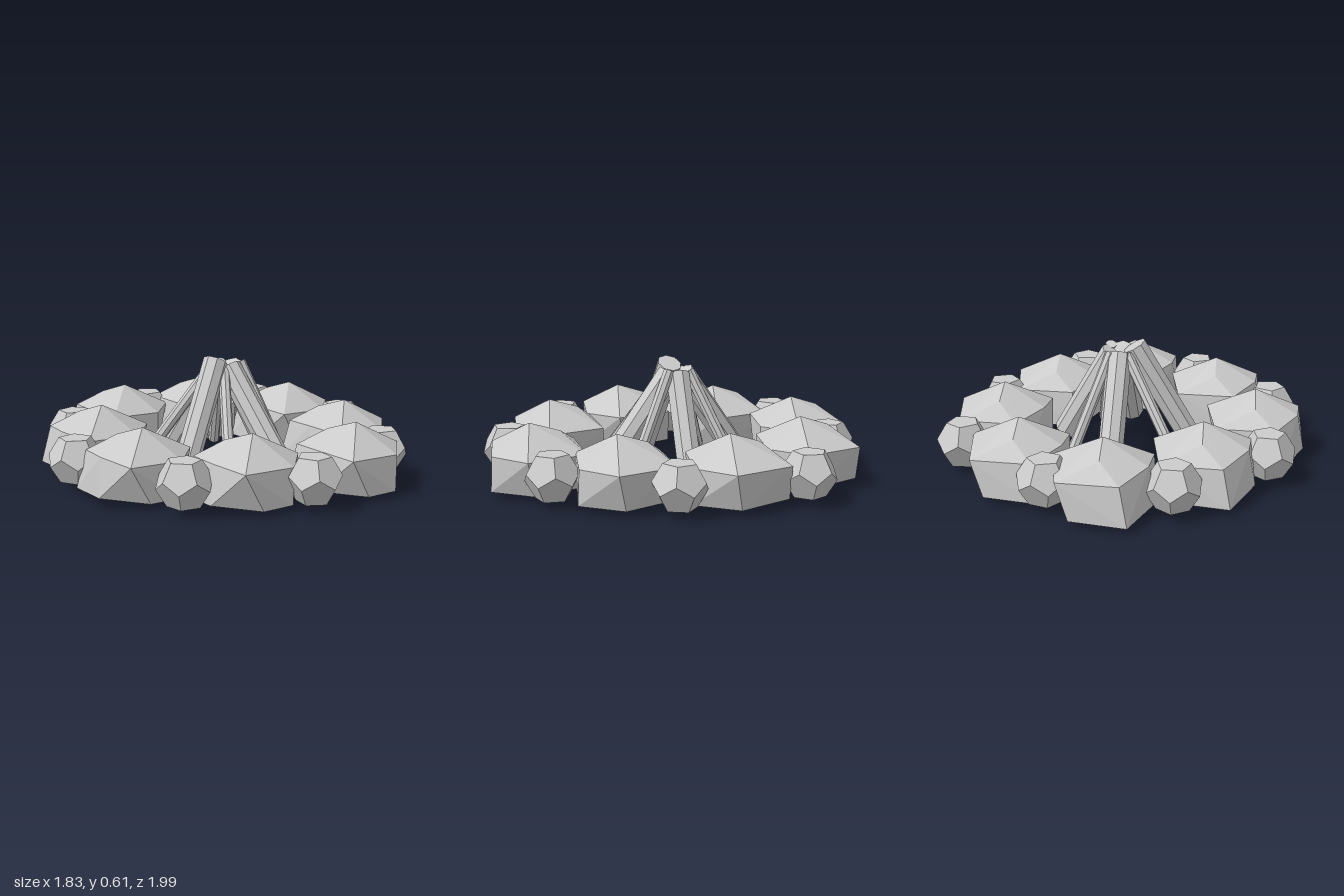
import * as THREE from 'three';
import { ConvexGeometry } from 'three/addons/geometries/ConvexGeometry.js';

const V = (x, y, z) => new THREE.Vector3(x, y, z);

export function createModel() {
  const group = new THREE.Group();
  const material = new THREE.MeshStandardMaterial({ color: 0xcccccc, flatShading: true });
  const add = (name, geometry) => {
    const mesh = new THREE.Mesh(geometry, material);
    mesh.name = name;
    group.add(mesh);
    return mesh;
  };

  // Large stone: flat base, faceted rim and a low peak with a ridge to the back
  const rim = [[-0.225, 0.22, 0.175], [0.05, 0.21, 0.245], [0.255, 0.215, 0.12],
    [0.185, 0.21, -0.2], [-0.12, 0.22, -0.225], [-0.225, 0.24, -0.02]];
  const base = [[0.04, 0.03, 0.25], [0.205, 0.03, 0.07], [0.12, 0.03, -0.22],
    [-0.16, 0.03, -0.255], [-0.26, 0.05, 0], [-0.12, 0.028, 0.2]];
  const top = [[0, 0.35, 0.04], [-0.01, 0.295, -0.12]];
  const stone = new ConvexGeometry([...rim, ...base, ...top].map(p => V(...p)));

  // Ring of large stones: x, z
  [[0.01, -0.745], [0.46, -0.56], [0.655, -0.08], [0.465, 0.42],
    [0.085, 0.74], [-0.41, 0.49], [-0.655, 0.015], [-0.435, -0.48],
  ].forEach(([x, z]) => add('largeStone', stone).position.set(x, 0, z));

  // Small twelve-sided stones lying on a face in the gaps
  const pebble = new THREE.DodecahedronGeometry(0.137);
  pebble.rotateX(-Math.atan(2 / (1 + Math.sqrt(5))));
  [[-0.33, -0.76], [0.275, -0.785], [0.78, -0.4], [0.735, 0.25],
    [0.365, 0.75], [-0.28, 0.79], [-0.715, 0.37], [-0.745, -0.315],
  ].forEach(([x, z], i) => {
    const mesh = add('smallStone', pebble);
    mesh.position.set(x, 0.148, z);
    mesh.rotation.y = i * 0.35;
  });

  // A leaning log between its foot and its tip
  const log = (name, foot, tip, radius) => {
    const axis = tip.clone().sub(foot);
    const mesh = add(name, new THREE.CylinderGeometry(radius, radius, axis.length(), 8));
    mesh.position.copy(foot).add(tip).multiplyScalar(0.5);
    mesh.quaternion.setFromUnitVectors(V(0, 1, 0), axis.normalize());
  };

  // Four thick logs
  log('leftLog', V(0.345, 0.07, 0.03), V(0.08, 0.535, -0.01), 0.064);
  log('rightLog', V(-0.345, 0.03, 0.035), V(-0.03, 0.575, -0.01), 0.064);
  log('frontLog', V(0.04, 0.075, 0.36), V(0.04, 0.535, 0.02), 0.064);
  log('backLog', V(0.04, 0.075, -0.37), V(0.04, 0.535, -0.05), 0.064);

  // Four thin sticks between them
  log('stick', V(0.255, 0.06, -0.26), V(0.08, 0.55, -0.07), 0.03);
  log('stick', V(0.18, 0.06, 0.275), V(0.1, 0.56, 0.045), 0.03);
  log('stick', V(-0.265, 0.06, 0.275), V(0, 0.54, 0.02), 0.03);
  log('stick', V(-0.29, 0.06, -0.285), V(0, 0.54, -0.06), 0.03);

  return group;
}
